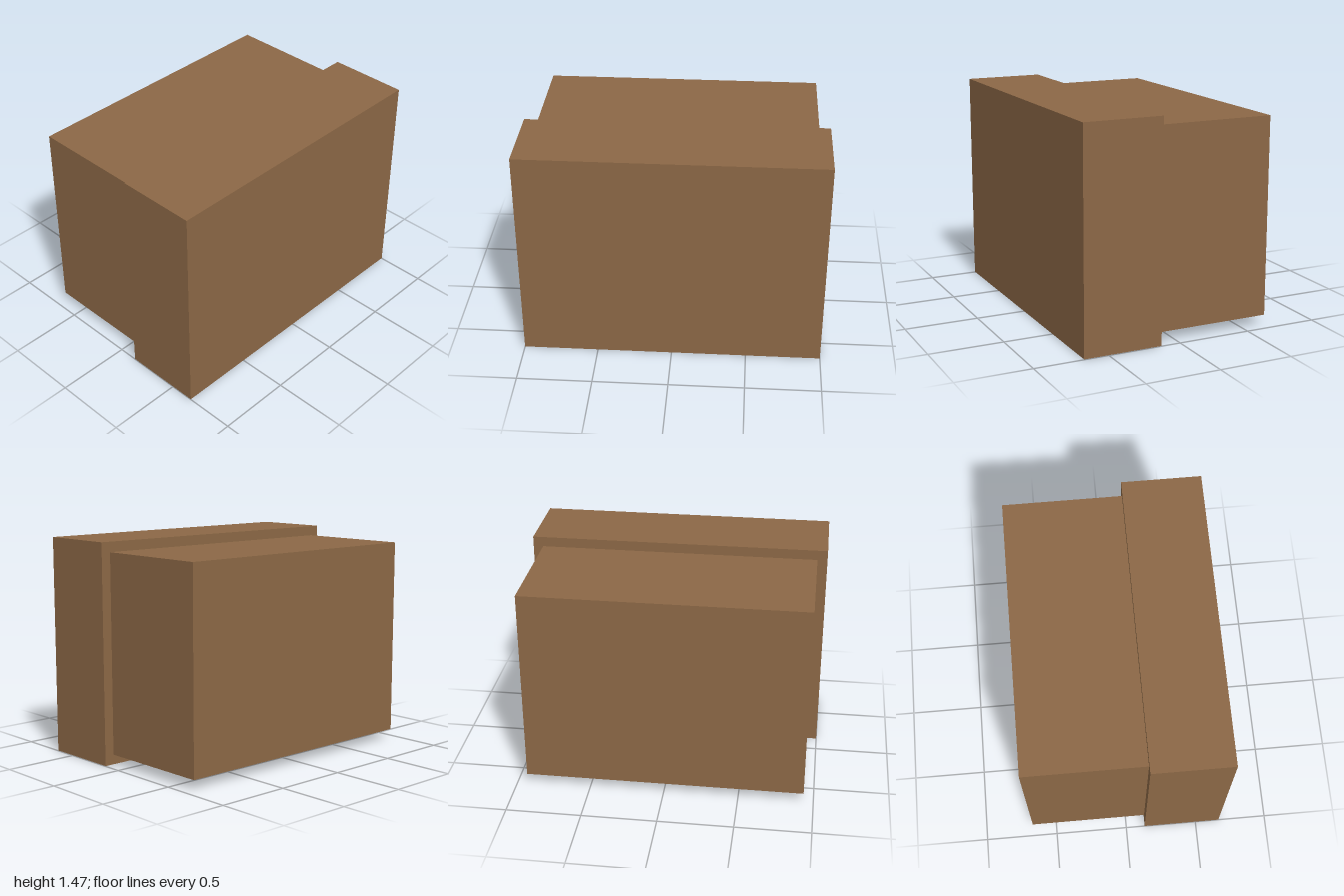
import * as THREE from 'three';

const brown = new THREE.MeshStandardMaterial({ color: 0x8c6846 });
brown.name = 'cardboardBrown';
const ochre = new THREE.MeshStandardMaterial({ color: 0xb99c54 });
ochre.name = 'ochre';

// Rectangle with softened corners, centred on (cx, cz)
function rounded(PathType, cx, cz, w, d, r) {
  const p = new PathType();
  const x = w / 2 - r, z = d / 2 - r;
  p.absarc(cx + x, cz + z, r, 0, Math.PI / 2);
  p.absarc(cx - x, cz + z, r, Math.PI / 2, Math.PI);
  p.absarc(cx - x, cz - z, r, Math.PI, Math.PI * 1.5);
  p.absarc(cx + x, cz - z, r, Math.PI * 1.5, Math.PI * 2);
  p.closePath();
  return p;
}

export function createModel() {
  const group = new THREE.Group();
  group.name = 'box';

  // Block spanning y0..y1 and z0..z1
  const block = (name, width, y0, y1, z0, z1) => {
    const mesh = new THREE.Mesh(new THREE.BoxGeometry(width, y1 - y0, z1 - z0), brown);
    mesh.position.set(0, (y0 + y1) / 2, (z0 + z1) / 2);
    mesh.name = name;
    group.add(mesh);
  };
  block('lid', 2, 0.002, 1.467, 0.133, 0.667);
  block('body', 1.867, 0.067, 1.4, -0.667, 0.133);

  // Flat marking that faces down, its shape drawn in x and z
  const marking = (name, shape, y) => {
    const mesh = new THREE.Mesh(new THREE.ShapeGeometry(shape, 4), ochre);
    mesh.rotation.x = Math.PI / 2;
    mesh.position.y = y;
    mesh.name = name;
    group.add(mesh);
  };
  const lidPatch = rounded(THREE.Shape, 0, 0.475, 1.15, 0.31, 0.04);
  lidPatch.holes.push(rounded(THREE.Path, -0.15, 0.432, 0.3, 0.075, 0.03));
  marking('lidPatch', lidPatch, 0);
  marking('bodyPatch', rounded(THREE.Shape, 0, -0.213, 0.55, 0.115, 0.04), 0.065);

  return group;
}
